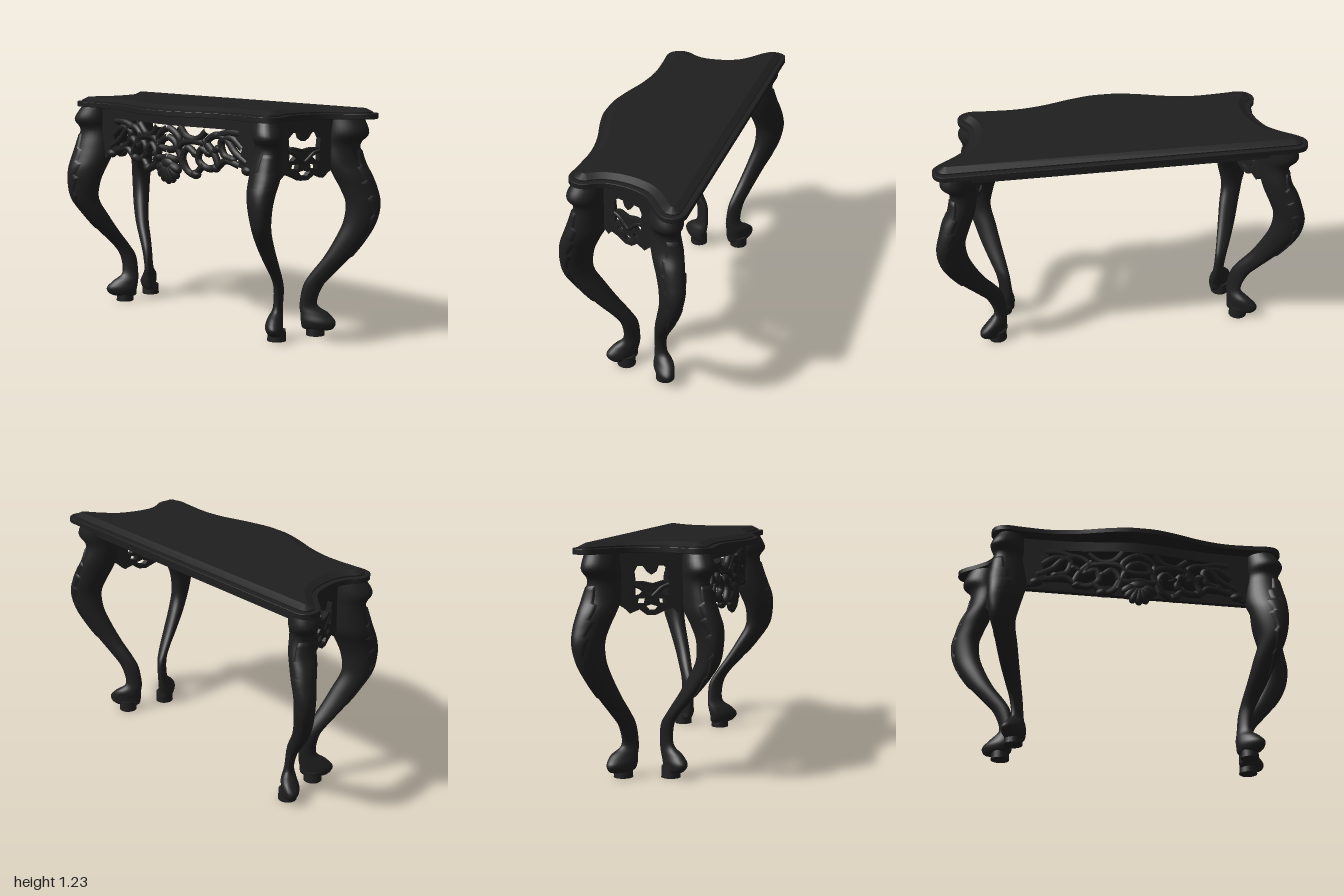
import * as THREE from 'three';
import { toCreasedNormals } from 'three/addons/utils/BufferGeometryUtils.js';

const wood = new THREE.MeshStandardMaterial({ color: 0x1f1f1f });
wood.name = 'blackWood';

// Leg sections from top to foot: y, inner x, outer x, inner z, outer z
const FRONT_LEG = [
  [1.178, .64, .79, .13, .275], [1.10, .64, .83, .13, .306], [1.04, .64, .81, .13, .275],
  [.95, .625, .82, .13, .298], [.88, .62, .83, .135, .322], [.81, .635, .83, .17, .345],
  [.73, .655, .828, .20, .348], [.63, .675, .812, .20, .33], [.53, .655, .78, .15, .265],
  [.43, .635, .745, .09, .185], [.34, .615, .705, .03, .105], [.27, .602, .678, -.008, .07],
  [.17, .592, .665, -.015, .067], [.12, .582, .695, -.01, .12], [.075, .58, .722, 0, .15],
  [.035, .59, .705, .005, .12], [.03, .63, .66, .045, .06],
];
const BACK_LEG = [
  [1.178, .76, .93, -.17, -.335], [1.10, .76, .955, -.16, -.348], [1.04, .76, .91, -.16, -.325],
  [.95, .77, .92, -.16, -.345], [.88, .79, .955, -.18, -.36], [.81, .82, .978, -.207, -.373],
  [.73, .845, .996, -.228, -.375], [.63, .835, .983, -.225, -.355], [.53, .80, .94, -.20, -.315],
  [.43, .752, .875, -.17, -.27], [.34, .69, .80, -.142, -.23], [.27, .655, .745, -.125, -.205],
  [.17, .64, .712, -.118, -.20], [.12, .64, .76, -.12, -.247], [.075, .642, .80, -.12, -.26],
  [.035, .645, .78, -.138, -.245], [.03, .68, .71, -.185, -.20],
];

// Plan lines followed by the aprons
const frontZ = x => .195 + .05 * Math.exp(-((x / .28) ** 2));
const sideX = z => .73 - .38 * z;

function mirrorX(geo) {
  const g = geo.clone().scale(-1, 1, 1);
  const n = g.index ? g.index.count : g.attributes.position.count;
  const idx = Array.from({ length: n }, (_, i) => (g.index ? g.index.getX(i) : i));
  for (let i = 0; i < n; i += 3) [idx[i], idx[i + 1]] = [idx[i + 1], idx[i]];
  g.setIndex(idx);
  return g;
}

function add(parent, name, geo) {
  const mesh = new THREE.Mesh(geo, wood);
  mesh.name = name;
  parent.add(mesh);
}

function addPair(parent, name, geo) {
  add(parent, name + 'Left', geo);
  add(parent, name + 'Right', mirrorX(geo));
}

function bend(geo, rule) {
  const p = geo.attributes.position;
  const v = new THREE.Vector3();
  for (let i = 0; i < p.count; i++) {
    rule(v.fromBufferAttribute(p, i));
    p.setXYZ(i, v.x, v.y, v.z);
  }
  geo.computeVertexNormals();
  return geo;
}

const pts = list => list.map(([x, y]) => new THREE.Vector2(x, y));

// Smooth surface through the leg sections, each an oval turned towards the corner (side +1 or -1).
// arc(s) gives the angle range, lift the offset
function legSurface(rings, side, t0, t1, rows, cols, arc, lift) {
  const centre = new THREE.CatmullRomCurve3(rings.map(([y, a, b, c, d]) =>
    new THREE.Vector3((a + b) / 2, y, (c + d) / 2)), false, 'catmullrom', .5);
  const radius = new THREE.CatmullRomCurve3(rings.map(([y, a, b, c, d]) =>
    new THREE.Vector3((b - a) / 2, y, Math.abs(d - c) / 2)), false, 'catmullrom', .5);
  const pos = [], idx = [], closed = !lift, w = closed ? cols : cols + 1;
  for (let i = 0; i <= rows; i++) {
    const s = i / rows, t = t0 + (t1 - t0) * s;
    const c = centre.getPoint(t), r = radius.getPoint(t);
    const turn = side * (.25 + .4 * t);
    const [from, to] = arc(s);
    for (let j = 0; j < w; j++) {
      const a = from + (to - from) * j / cols;
      const off = closed ? 0 : (j === 0 || j === cols || i === 0 || i === rows) ? -.004 : lift;
      pos.push(c.x + (r.x + off) * Math.cos(a), c.y, c.z + (r.z + off) * Math.sin(a + turn));
    }
    if (i === rows) break;
    for (let j = 0; j < cols; j++) {
      const k = closed ? (j + 1) % w : j + 1;
      const a = i * w + j, b = i * w + k;
      idx.push(a, b, a + w, b, b + w, a + w);
    }
  }
  const g = new THREE.BufferGeometry();
  g.setAttribute('position', new THREE.Float32BufferAttribute(pos, 3));
  g.setIndex(idx);
  g.computeVertexNormals();
  return g;
}

function addLeg(parent, name, rings, side, facing, padX, padZ) {
  addPair(parent, name, legSurface(rings, side, 0, 1, 80, 28, () => [0, Math.PI * 2], 0));
  // Carved leaf with a toothed edge on the knee
  const width = s => 1.2 * Math.sin(Math.PI * (.12 + .86 * s)) * (1 - .3 * ((s * 6) % 1));
  addPair(parent, name + 'Leaf',
    legSurface(rings, side, .14, .56, 48, 12, s => [facing - width(s), facing + width(s)], .007));
  // Plain pad under the foot
  const pad = new THREE.CylinderGeometry(.048, .051, .06, 20);
  addPair(parent, name + 'Pad', pad.translate(padX, .03, padZ));
}

function addTop(parent) {
  const edge = new THREE.SplineCurve(pts([
    [.92, -.38], [.96, -.367], [.985, -.33], [.983, -.28], [.945, -.235], [.88, -.185], [.82, -.125],
    [.788, -.05], [.775, .02], [.775, .08], [.79, .13], [.82, .18], [.825, .23], [.80, .275],
    [.75, .295], [.66, .288], [.5, .282], [.35, .305], [.2, .35], [.08, .377], [0, .38],
  ])).getPoints(80);
  // Drawn with y = -z, then laid flat
  const half = edge.map(p => new THREE.Vector2(p.x, -p.y));
  const other = half.slice(0, -1).reverse().map(p => new THREE.Vector2(-p.x, p.y));
  const shape = new THREE.Shape([...half, ...other]);
  const slab = (y, depth, bevel, inset, bevelSegments) => {
    const g = new THREE.ExtrudeGeometry(shape, { depth, bevelEnabled: true, bevelSize: bevel,
      bevelThickness: bevel * .5, bevelOffset: -inset - bevel, bevelSegments });
    return toCreasedNormals(g.rotateX(-Math.PI / 2).translate(0, y, 0), .4);
  };
  add(parent, 'topMoulding', slab(1.178, .024, .006, 0, 3));
  add(parent, 'topPanel', slab(1.2, .012, .037, .028, 1));
}

function addFrontApron(parent) {
  const follow = v => { v.z += frontZ(v.x); };
  const rail = new THREE.BoxGeometry(1.3, .065, .03, 40, 1, 1).translate(0, 1.148, 0);
  add(parent, 'frontRail', toCreasedNormals(bend(rail, follow), .6));
  // Solid ends beside the legs
  const cheek = new THREE.ExtrudeGeometry(new THREE.Shape(pts([[.68, 1.17], [.49, 1.17], [.5, 1.06],
    [.54, 1.02], [.52, .96], [.48, .93], [.55, .92], [.58, .89], [.68, .87]])),
  { depth: .03, bevelEnabled: false }).translate(0, 0, -.015);
  addPair(parent, 'frontCheek', bend(cheek, follow));
  // Pierced scrollwork, one half listed
  const scrolls = [
    [[.57, .95], [.48, 1], [.42, 1.06], [.34, 1.08], [.28, 1.04], [.31, .99], [.36, 1.01]],
    [[.52, .93], [.41, .95], [.35, .91], [.28, .90], [.22, .94], [.24, 1], [.29, .98]],
    [[.54, 1.02], [.46, 1.07], [.38, 1.05], [.40, .98], [.46, .96]],
    [[.28, 1.1], [.21, 1.05], [.14, 1.06], [.09, 1.11]],
    [[.26, .92], [.19, .86], [.14, .88], [.11, .95], [.15, 1], [.2, .97]],
    [[.12, .88], [.09, .96], [.05, 1.03], [0, 1.05]],
    [[0, .98], [.06, .99], [.12, 1.03], [.19, 1.04], [.27, 1.03]],
    [[.36, 1.08], [.44, 1.1], [.52, 1.1]],
    [[.36, .92], [.33, .98], [.26, 1.05]],
    [[0, .94], [.07, .93], [.13, .95]],
    [[0, 1.1], [.05, 1.08], [.09, 1.04], [.08, .99]],
  ];
  scrolls.forEach((list, i) => {
    const path = new THREE.CatmullRomCurve3(list.map(([x, y]) =>
      new THREE.Vector3(x, y, frontZ(x) + .004)));
    addPair(parent, 'frontScroll' + i, new THREE.TubeGeometry(path, 32, .0195, 8));
  });
  // Leaf buds closing the scroll ends
  for (const [x, y, r] of [[.2, .86, .03], [.34, .905, .027], [.36, 1.01, .025], [.29, .98, .025],
    [.2, .97, .025], [.46, .96, .025], [.57, .91, .03]]) {
    const bud = new THREE.SphereGeometry(r, 12, 8).scale(1.25, .85, .8);
    addPair(parent, 'frontBud', bud.translate(x, y, frontZ(x) + .004));
  }
  // Central shell made of radiating lobes
  for (let i = -3; i <= 3; i++) {
    const lobe = new THREE.SphereGeometry(1, 12, 10).scale(.03, .062 - .003 * Math.abs(i), .028);
    lobe.translate(0, -.055, 0).rotateZ(i * .4).translate(0, .905, frontZ(0) + .004);
    add(parent, 'shellLobe', lobe);
  }
  add(parent, 'shellBoss', new THREE.SphereGeometry(.04, 16, 10).scale(1.5, .9, .7)
    .translate(0, .905, frontZ(0) + .004));
}

function addSideAprons(parent) {
  // Drawn with x = -z
  const shape = new THREE.Shape(pts([[-.19, 1.178], [-.19, .90], [-.13, .89], [-.105, .87], [-.085, .895],
    [-.05, .885], [.0, .86], [.04, .862], [.075, .89], [.12, .87], [.15, .90], [.2, .93], [.2, 1.178]]));
  const holes = [
    [[.02, 1.065], [.04, 1.08], [.06, 1.11], [.09, 1.11], [.105, 1.08], [.1, 1.03], [.06, 1.03],
      [.02, 1.02], [-.03, 1.035], [-.06, 1.025], [-.065, 1.08], [-.04, 1.11], [-.01, 1.11], [.0, 1.08]],
    [[-.062, .96], [-.06, 1], [-.03, 1.0], [-.02, .985], [-.04, .965]],
    [[.102, .96], [.1, 1], [.07, 1.0], [.06, .985], [.08, .965]],
    [[-.05, .92], [-.045, .945], [-.01, .945], [-.015, .92]],
    [[.09, .92], [.085, .945], [.05, .945], [.055, .92]],
    [[.005, .885], [-.01, .905], [.02, .915], [.05, .905], [.035, .885]],
  ];
  for (const h of holes) shape.holes.push(new THREE.Path(pts(h)));
  const panel = new THREE.ExtrudeGeometry(shape, { depth: .03, bevelEnabled: false });
  addPair(parent, 'sideApron', bend(panel.rotateY(Math.PI / 2), v => { v.x += sideX(v.z); }));
  // Carved crest below the heart-shaped piercing
  const crest = new THREE.CatmullRomCurve3([[.065, 1.015], [.03, 1.0], [-.005, .965], [-.02, .955],
    [-.035, .965], [-.07, 1.0], [-.105, 1.015]].map(([z, y]) => new THREE.Vector3(sideX(z) + .024, y, z)));
  addPair(parent, 'sideScroll', new THREE.TubeGeometry(crest, 40, .012, 8));
}

export function createModel() {
  const table = new THREE.Group();
  table.name = 'consoleTable';
  addTop(table);
  addLeg(table, 'frontLeg', FRONT_LEG, 1, .7, .648, .052);
  addLeg(table, 'backLeg', BACK_LEG, -1, -.45, .7, -.19);
  addFrontApron(table);
  addSideAprons(table);
  add(table, 'backRail', new THREE.BoxGeometry(1.6, .065, .03).translate(0, 1.146, -.29));
  return table;
}
